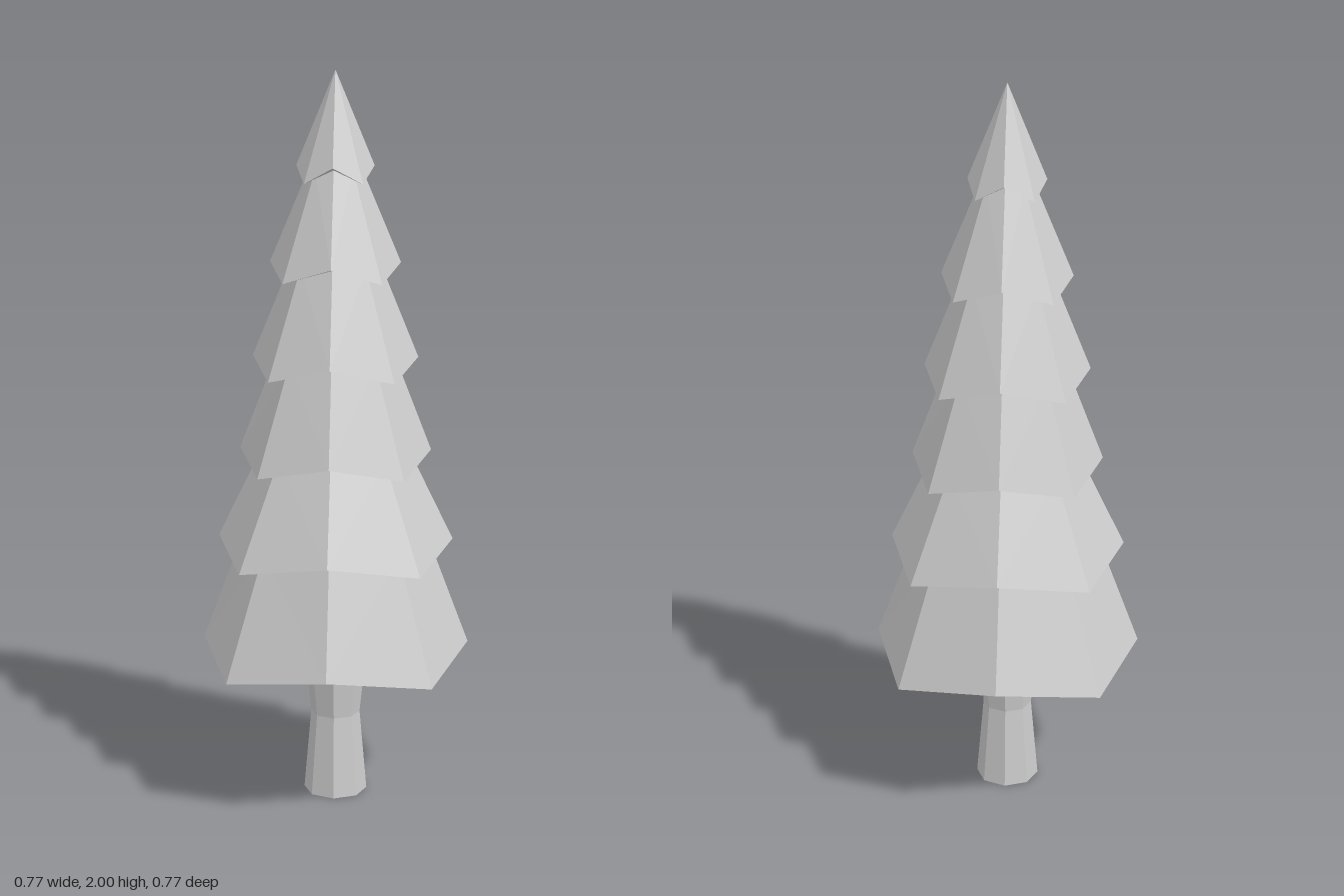
import * as THREE from 'three';

const SIDES = 8;

// One eight-sided ring; odd corners may be pulled in and lifted.
function ring(radius, y, pull = 1, lift = 0) {
  return Array.from({ length: SIDES }, (_, k) => {
    const a = (k / SIDES) * Math.PI * 2;
    const odd = k % 2 === 1;
    const r = odd ? radius * pull : radius;
    return new THREE.Vector3(Math.sin(a) * r, odd ? y + lift : y, Math.cos(a) * r);
  });
}

// Skin a list of rings, ordered so that the outside faces out.
function skin(rings, name) {
  const points = [];
  const triangle = (a, b, c) => {
    const area = new THREE.Triangle(a, b, c).getArea();
    if (area > 1e-8) points.push(a, b, c);
  };
  for (let i = 0; i < rings.length - 1; i++) {
    const low = rings[i], high = rings[i + 1];
    for (let k = 0; k < SIDES; k++) {
      const n = (k + 1) % SIDES;
      // mirrored diagonals keep the facets symmetrical about each axis
      if (k % 2 === 0) {
        triangle(low[k], low[n], high[k]);
        triangle(low[n], high[n], high[k]);
      } else {
        triangle(low[k], low[n], high[n]);
        triangle(low[k], high[n], high[k]);
      }
    }
  }
  const geometry = new THREE.BufferGeometry().setFromPoints(points);
  geometry.computeVertexNormals();
  const material = new THREE.MeshStandardMaterial({ color: 0xcccccc, flatShading: true });
  const mesh = new THREE.Mesh(geometry, material);
  mesh.name = name;
  return mesh;
}

export function createModel() {
  const tree = new THREE.Group();
  tree.name = 'pineTree';

  // Trunk: flared foot, narrow waist, wider top inside the branches
  tree.add(skin([
    ring(0, 0), ring(0.088, 0), ring(0.068, 0.23), ring(0.086, 0.4), ring(0.088, 0.47),
  ], 'trunk'));

  // Branch tiers: [rim radius, rim height, inner radius, inner height]
  const tiers = [
    [0.387, 0.4, 0.26, 0.465],
    [0.339, 0.695, 0.255, 0.74],
    [0.274, 0.945, 0.2, 0.987],
    [0.235, 1.2, 0.162, 1.24],
    [0.184, 1.455, 0.122, 1.49],
    [0.109, 1.71, 0.07, 1.745],
  ];
  const rings = [ring(0, tiers[0][3])];
  for (const [rim, y, inner, innerY] of tiers) {
    rings.push(ring(inner, innerY), ring(rim, y, 0.95, 0.043));
  }
  rings.push(ring(0, 2));
  tree.add(skin(rings, 'branches'));

  return tree;
}
